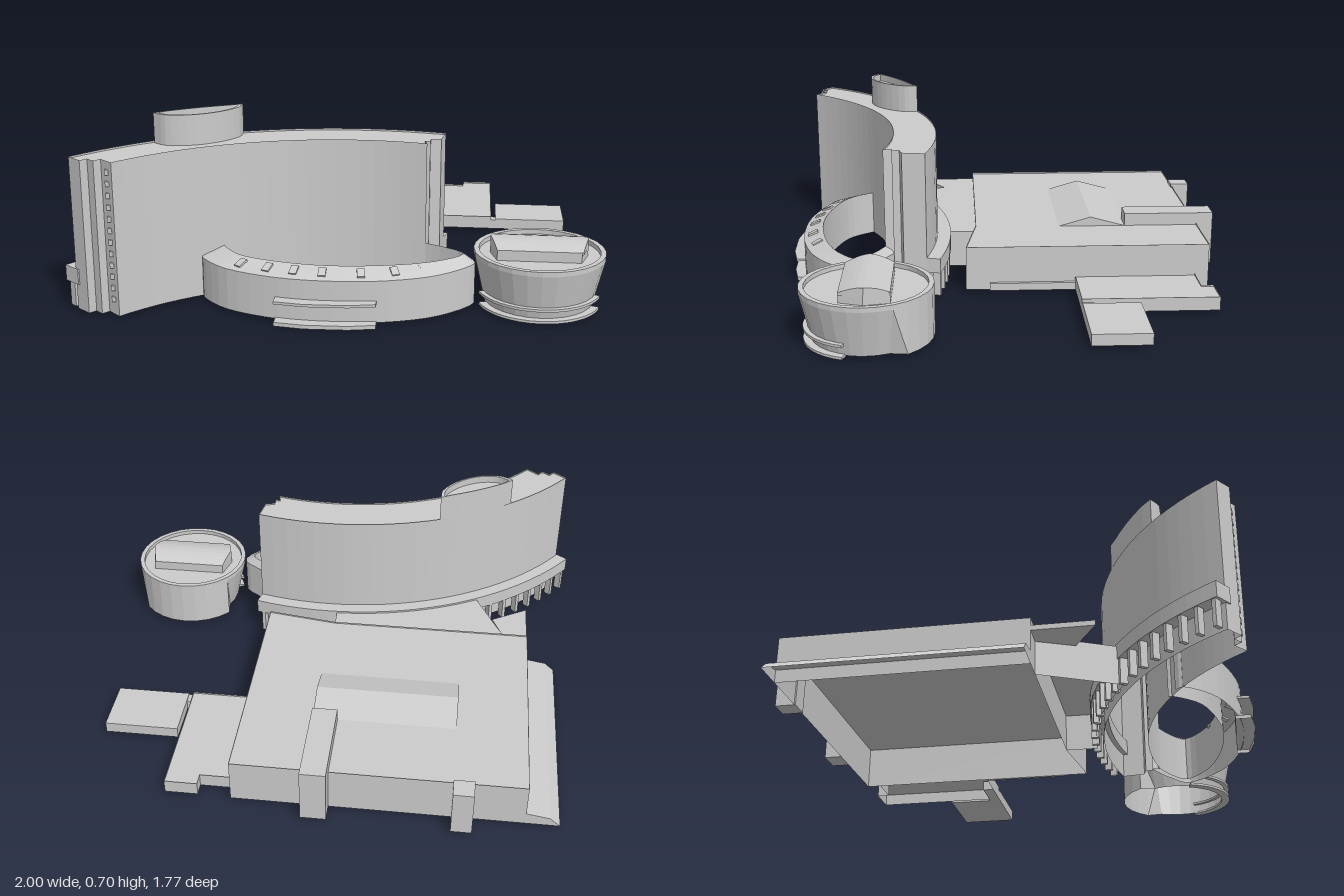
import * as THREE from 'three';

const mat = new THREE.MeshStandardMaterial({ color: 0xcccccc, flatShading: true, side: THREE.DoubleSide });

export function createModel() {
  const model = new THREE.Group();

  const add = (name, geo, parent = model) => {
    const m = new THREE.Mesh(geo, mat);
    m.name = name;
    parent.add(m);
    return m;
  };
  const group = (name) => {
    const g = new THREE.Group();
    g.name = name;
    model.add(g);
    return g;
  };

  // Quads between two rows of [x, y, z] points
  const loft = (a, b, closed) => {
    const v = [];
    for (let i = 0; i < a.length - (closed ? 0 : 1); i++) {
      const j = (i + 1) % a.length;
      v.push(...a[i], ...a[j], ...b[j], ...a[i], ...b[j], ...b[i]);
    }
    const g = new THREE.BufferGeometry();
    g.setAttribute('position', new THREE.Float32BufferAttribute(v, 3));
    g.computeVertexNormals();
    return g;
  };
  const at = (pts, y) => pts.map(([x, z]) => [x, y, z]);
  const plate = (pts, y) =>
    new THREE.ShapeGeometry(new THREE.Shape(pts.map((p) => new THREE.Vector2(...p)))).rotateX(Math.PI / 2).translate(0, y, 0);

  // Open-bottomed volume: walls on a plan outline, roof slightly below the wall tops
  const shell = (name, pts, y0, y1, { roof = y1, floor = false, parent = model } = {}) => {
    const g = new THREE.Group();
    g.name = name;
    parent.add(g);
    add(name + 'Walls', loft(at(pts, y0), at(pts, y1), true), g);
    add(name + 'Roof', plate(pts, roof), g);
    if (floor) add(name + 'Underside', plate(pts, y0), g);
    return g;
  };
  const block = (name, x0, x1, y0, y1, z0, z1, parent = model) =>
    add(name, new THREE.BoxGeometry(x1 - x0, y1 - y0, z1 - z0)
      .translate((x0 + x1) / 2, (y0 + y1) / 2, (z0 + z1) / 2), parent);

  // Plan arcs; angle 0 points to the back
  const arc = (cx, cz, r, a0, a1, n) => Array.from({ length: n + 1 }, (_, i) => {
    const a = a0 + ((a1 - a0) * i) / n;
    return [cx + r * Math.sin(a), cz - r * Math.cos(a)];
  });
  const towerArc = (r, a0, a1, n = 24) => arc(0.07, 1.55, r, a0, a1, n);
  const sector = (cx, cz, r0, r1, a0, a1, n) => [...arc(cx, cz, r1, a0, a1, n), ...arc(cx, cz, r0, a1, a0, n)];

  // Curved tower with stepped ends
  const tower = group('tower');
  shell('towerBody', [
    ...towerArc(1.27, -0.94, 0.25), [0.37, 0.41], [0.33, 0.42], [0.33, 0.45], [0.31, 0.45],
    ...towerArc(1.094, 0.23, -0.89), [-0.83, 0.82], [-0.85, 0.845], [-0.88, 0.82], [-0.9, 0.845],
  ], 0.01, 0.595, { roof: 0.588, parent: tower });
  for (let i = 0; i < 12; i++) {
    const y = 0.06 + i * 0.044;
    block('endSlot', -0.81, -0.795, y, y + 0.02, 0.84, 0.85, tower);
  }

  // Rear canopy on columns
  const arcade = group('rearArcade');
  shell('canopy', sector(0.07, 1.55, 1.25, 1.325, -0.945, 0.25, 24), 0.11, 0.17, { floor: true, parent: arcade });
  towerArc(1.305, -0.93, 0.23, 20).forEach(([x, z], i) => {
    const c = block('column', -0.008, 0.008, 0.01, 0.11, -0.015, 0.015, arcade);
    c.position.set(x, 0, z);
    c.rotation.y = 0.93 - i * 0.058;
  });

  // Bowed rooftop pavilion with rim and recessed roof
  const pavilion = group('roofPavilion');
  const bow = new THREE.CatmullRomCurve3([[-0.4, 0.37], [-0.405, 0.43], [-0.47, 0.52], [-0.56, 0.575], [-0.65, 0.585], [-0.705, 0.555]]
    .map(([x, z]) => new THREE.Vector3(x, 0, z))).getPoints(16).map((p) => [p.x, p.z]);
  const bowPlan = [...towerArc(1.265, -0.655, -0.385, 8).slice(1, -1), ...bow];
  shell('pavilionBody', bowPlan, 0.588, 0.69, { roof: 0.675, parent: pavilion });
  const shrink = (pts, cx, cz, s) => pts.map(([x, z]) => [cx + (x - cx) * s, cz + (z - cz) * s]);
  const innerBow = shrink(bowPlan, -0.55, 0.49, 0.9);
  add('pavilionRimTop', loft(at(bowPlan, 0.705), at(innerBow, 0.705), true), pavilion);
  add('pavilionRimOuter', loft(at(bowPlan, 0.69), at(bowPlan, 0.705), true), pavilion);
  add('pavilionRimInner', loft(at(innerBow, 0.675), at(innerBow, 0.705), true), pavilion);

  // Crescent gallery round the open court
  const gallery = group('crescentGallery');
  const smooth = (pts) => new THREE.SplineCurve(pts.map((p) => new THREE.Vector2(...p))).getPoints(36).map((p) => [p.x, p.y]);
  const outer = smooth([[-0.5, 0.6], [-0.515, 0.645], [-0.4, 0.755], [-0.2, 0.825], [0, 0.84], [0.2, 0.815], [0.38, 0.74], [0.51, 0.6], [0.43, 0.515], [0.32, 0.45]]);
  const inner = smooth([[-0.44, 0.57], [-0.435, 0.6], [-0.35, 0.69], [-0.18, 0.745], [0, 0.762], [0.2, 0.735], [0.36, 0.68], [0.465, 0.59], [0.4, 0.525], [0.3, 0.475]]);
  add('galleryOuterWall', loft(at(outer, 0.01), at(outer, 0.17)), gallery);
  add('galleryRoof', loft(at(outer, 0.17), at(inner, 0.2)), gallery);
  add('galleryInnerWall', loft(at(inner, 0.01), at(inner, 0.2)), gallery);
  for (const [x, z, turn] of [[-0.35, 0.735, 0.6], [-0.245, 0.77, 0.35], [-0.145, 0.79, 0.15], [-0.04, 0.8, 0], [0.1, 0.795, -0.15], [0.22, 0.765, -0.35], [0.32, 0.715, -0.6]]) {
    const s = add('skylight', new THREE.BoxGeometry(0.028, 0.012, 0.042), gallery);
    s.position.set(x, 0.186, z);
    s.rotation.set(0.4, -turn, 0, 'YXZ');
  }
  const visor = [[-0.21, 0.81], [0.16, 0.81], [0.16, 0.86], [0.06, 0.88], [-0.1, 0.885], [-0.21, 0.87]];
  shell('entranceCanopy', visor, 0.085, 0.095, { floor: true, parent: gallery });
  shell('entranceStep', visor, 0, 0.015, { parent: gallery });

  // Round pavilion: flared front, upright back
  const rotunda = group('rotunda');
  const C = [0.75, 0.53];
  const N = 28;
  const ringTop = arc(...C, 0.247, 0, Math.PI * 2, N).slice(0, N);
  const ringLow = ringTop.map(([x, z]) => {
    const s = (C[1] - z) / 0.247 > 0.6 ? 1 : 0.83;
    return [C[0] + (x - C[0]) * s, C[1] + (z - C[1]) * s];
  });
  const ringIn = shrink(ringTop, ...C, 0.92);
  add('rotundaWall', loft(at(ringLow, 0.01), at(ringTop, 0.19), true), rotunda);
  add('rotundaRim', loft(at(ringTop, 0.19), at(ringTop, 0.208), true), rotunda);
  add('rotundaRimTop', loft(at(ringTop, 0.208), at(ringIn, 0.208), true), rotunda);
  add('rotundaRimInner', loft(at(ringIn, 0.208), at(ringIn, 0.19), true), rotunda);
  add('rotundaRoof', plate(ringTop, 0.19), rotunda);
  for (const y of [0.005, 0.05])
    shell('rotundaLedge', sector(...C, 0.2, 0.235, 1.9, 4.4, 16), y, y + 0.01, { floor: true, parent: rotunda });
  // Rooflight with curved top
  const light = [[0.59, 0.435], [0.91, 0.435], [0.93, 0.53], [0.9, 0.62], [0.59, 0.62], [0.565, 0.53]];
  add('rooflightWalls', loft(at(light, 0.19), at(light, 0.23), true), rotunda);
  const curvedRow = (f) => Array.from({ length: 9 }, (_, i) => {
    const t = i / 8;
    return [f(t), 0.23 + 0.025 * Math.sin(Math.PI * t), 0.435 + 0.185 * t];
  });
  const west = curvedRow((t) => 0.565 + 0.05 * Math.abs(t - 0.5));
  const east = curvedRow((t) => 0.93 - 0.05 * Math.abs(t - 0.5));
  add('rooflightTop', loft(west, east), rotunda);
  for (const row of [west, east]) add('rooflightEnd', loft(row, row.map(([x, , z]) => [x, 0.22, z])), rotunda);

  // Large flat-roofed hall
  const hall = group('hall');
  shell('hallBody', [[-0.81, -0.815], [0.32, -0.815], [0.32, 0.165], [0.03, 0.12], [-0.81, 0.12]], 0.01, 0.19, { roof: 0.183, parent: hall });
  block('roofPlant', -0.06, 0.04, 0.01, 0.235, -0.885, -0.815, hall);
  block('roofPlant', -0.06, 0.04, 0.183, 0.235, -0.815, -0.51, hall);
  block('rearShaft', -0.61, -0.53, 0.01, 0.2, -0.89, -0.81, hall);
  const ridge = [[0.183, -0.51], [0.222, -0.365], [0.183, -0.23]];
  const row = (x) => ridge.map(([y, z]) => [x, y, z]);
  add('hallSkylight', loft(row(-0.53), row(0.04), true), hall);
  for (const x of [-0.53, 0.04]) add('skylightGable', loft(row(x), row(x).map((p) => [p[0], 0.183, p[2]])), hall);

  // Low lean-to along the hall's side
  const lean = [[-0.81, 0.06], [-0.9, 0.045], [-0.94, 0.01]];
  const leanRow = (z) => lean.map(([x, y]) => [x, y, z]);
  add('sideLeanTo', loft(leanRow(-0.815), leanRow(0.12)), hall);
  for (const z of [-0.815, 0.12]) add('leanToEnd', loft(leanRow(z), lean.map(([x]) => [x, 0.01, z])), hall);

  // Link between hall and tower, with a pointed side canopy
  shell('link', [[-0.72, 0.12], [0.03, 0.12], ...towerArc(1.3, -0.03, -0.52, 12)], 0.01, 0.162);
  shell('pointedCanopy', [[-0.81, 0.12], [-0.72, 0.12], [-0.66, 0.26], [-0.81, 0.35]], 0.14, 0.16, { floor: true });

  // Low service wing beside the hall
  const wing = group('serviceWing');
  shell('loadingRoof', [[0.32, -0.76], [0.45, -0.76], [0.45, -0.81], [0.58, -0.81], [0.58, -0.275], [0.32, -0.275]], 0.01, 0.065, { roof: 0.058, parent: wing });
  block('wingKerb', 0.45, 0.6, 0.01, 0.05, -0.32, -0.275, wing);
  block('outerWing', 0.6, 0.9, 0.01, 0.055, -0.5, -0.275, wing);
  block('sideKerb', 0.32, 0.335, 0.01, 0.04, -0.275, 0.07, wing);

  return model;
}
